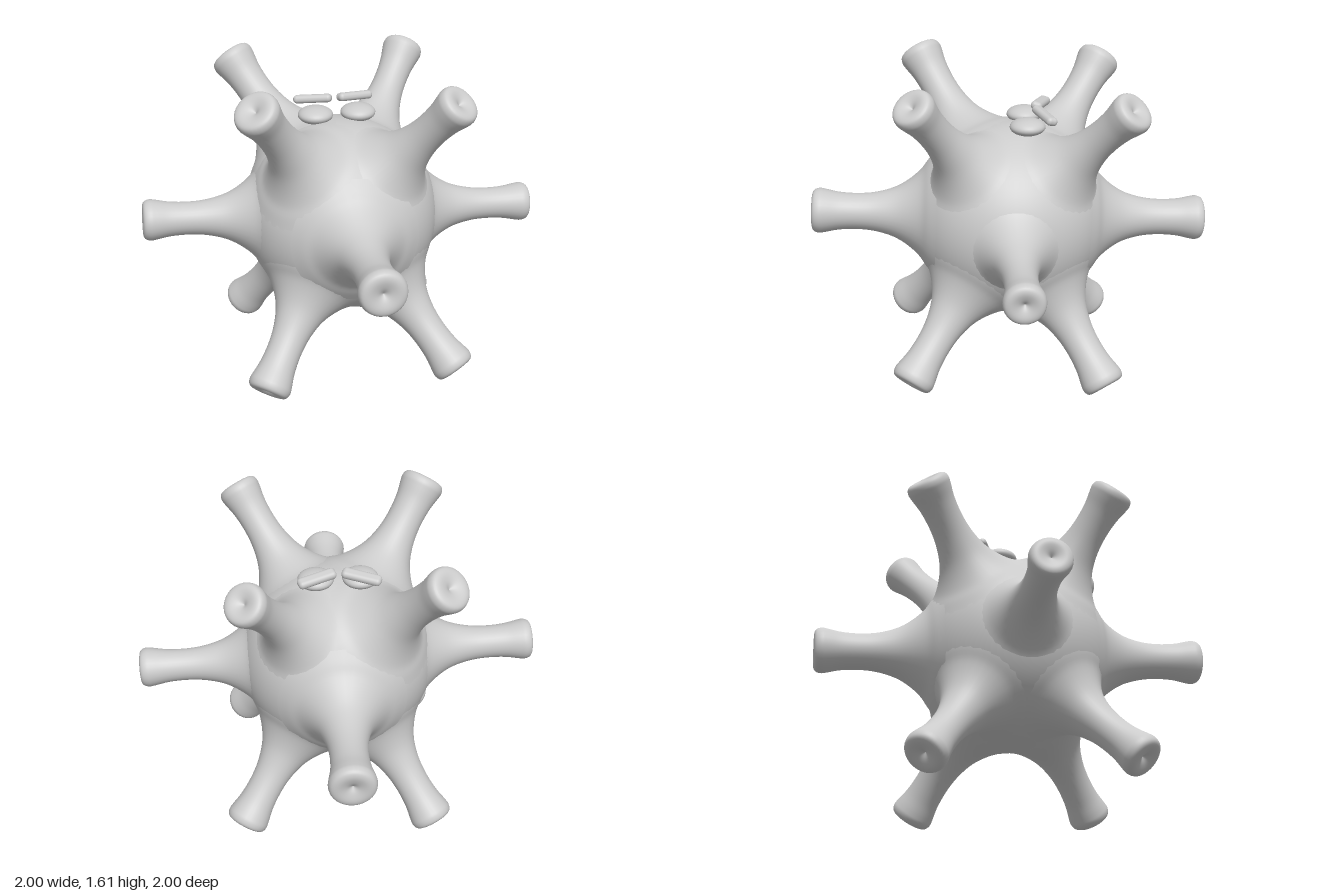
import * as THREE from 'three';
import { RoundedBoxGeometry } from 'three/addons/geometries/RoundedBoxGeometry.js';

const CENTER_Y = 0.79;
const material = new THREE.MeshStandardMaterial({ color: 0xcccccc });

function addMesh(parent, name, geometry) {
  const mesh = new THREE.Mesh(geometry, material);
  mesh.name = name;
  parent.add(mesh);
  return mesh;
}

// Spike turned around +y: flared root, narrow neck, swollen dimpled tip
function spikeGeometry() {
  const profile = [
    [0.3, 0.38], [0.255, 0.419], [0.205, 0.458], [0.155, 0.52], [0.118, 0.59],
    [0.094, 0.68], [0.086, 0.77], [0.09, 0.86], [0.103, 0.93], [0.107, 0.963],
    [0.096, 0.99], [0.067, 0.998], [0.028, 0.987], [0, 0.968],
  ].map(([r, d]) => new THREE.Vector2(r, d));
  const points = new THREE.SplineCurve(profile).getPoints(52);
  points.forEach((p) => { p.x = Math.max(p.x, 0); });
  return new THREE.LatheGeometry(points, 32);
}

export function createModel() {
  const model = new THREE.Group();
  model.name = 'spikyBall';

  // Round body
  addMesh(model, 'body', new THREE.SphereGeometry(0.49, 64, 40)).position.y = CENTER_Y;

  // Spikes: name, direction from the body centre, relative thickness
  const spikes = [
    ['leftSpike', [0.97, -0.035, 0], 0.93],
    ['rightSpike', [-0.97, 0.04, 0], 0.96],
    ['frontSpike', [0, 0.05, 0.97], 1.06],
    ['backSpike', [0, -0.045, -0.97], 1.06],
    ['upperFrontLeftSpike', [0.46, 0.71, 0.47], 0.97],
    ['upperFrontRightSpike', [-0.47, 0.73, 0.43], 1.03],
    ['upperBackLeftSpike', [0.45, 0.67, -0.54], 0.97],
    ['upperBackRightSpike', [-0.47, 0.69, -0.51], 1.03],
    ['lowerFrontLeftSpike', [0.48, -0.67, 0.51], 1],
    ['lowerFrontRightSpike', [-0.46, -0.67, 0.53], 1],
    ['lowerBackLeftSpike', [0.49, -0.71, -0.43], 1],
    ['lowerBackRightSpike', [-0.45, -0.71, -0.47], 1],
  ];
  const spike = spikeGeometry();
  const up = new THREE.Vector3(0, 1, 0);
  for (const [name, dir, width] of spikes) {
    const mesh = addMesh(model, name, spike);
    mesh.position.y = CENTER_Y;
    mesh.quaternion.setFromUnitVectors(up, new THREE.Vector3(...dir).normalize());
    mesh.scale.set(width, 1, width);
  }

  // Flattened eyes and slanted brows on top
  const eye = new THREE.SphereGeometry(0.088, 32, 20);
  const brow = new RoundedBoxGeometry(0.195, 0.042, 0.058, 4, 0.02);
  for (const [side, s] of [['left', 1], ['right', -1]]) {
    const eyeMesh = addMesh(model, side + 'Eye', eye);
    eyeMesh.position.set(s * 0.108, 1.292, -0.082);
    eyeMesh.scale.y = 0.47;
    const browMesh = addMesh(model, side + 'Brow', brow);
    browMesh.position.set(s * 0.107, 1.346, -0.165);
    browMesh.rotation.set(-0.28, s * 0.37, 0);
  }
  return model;
}
